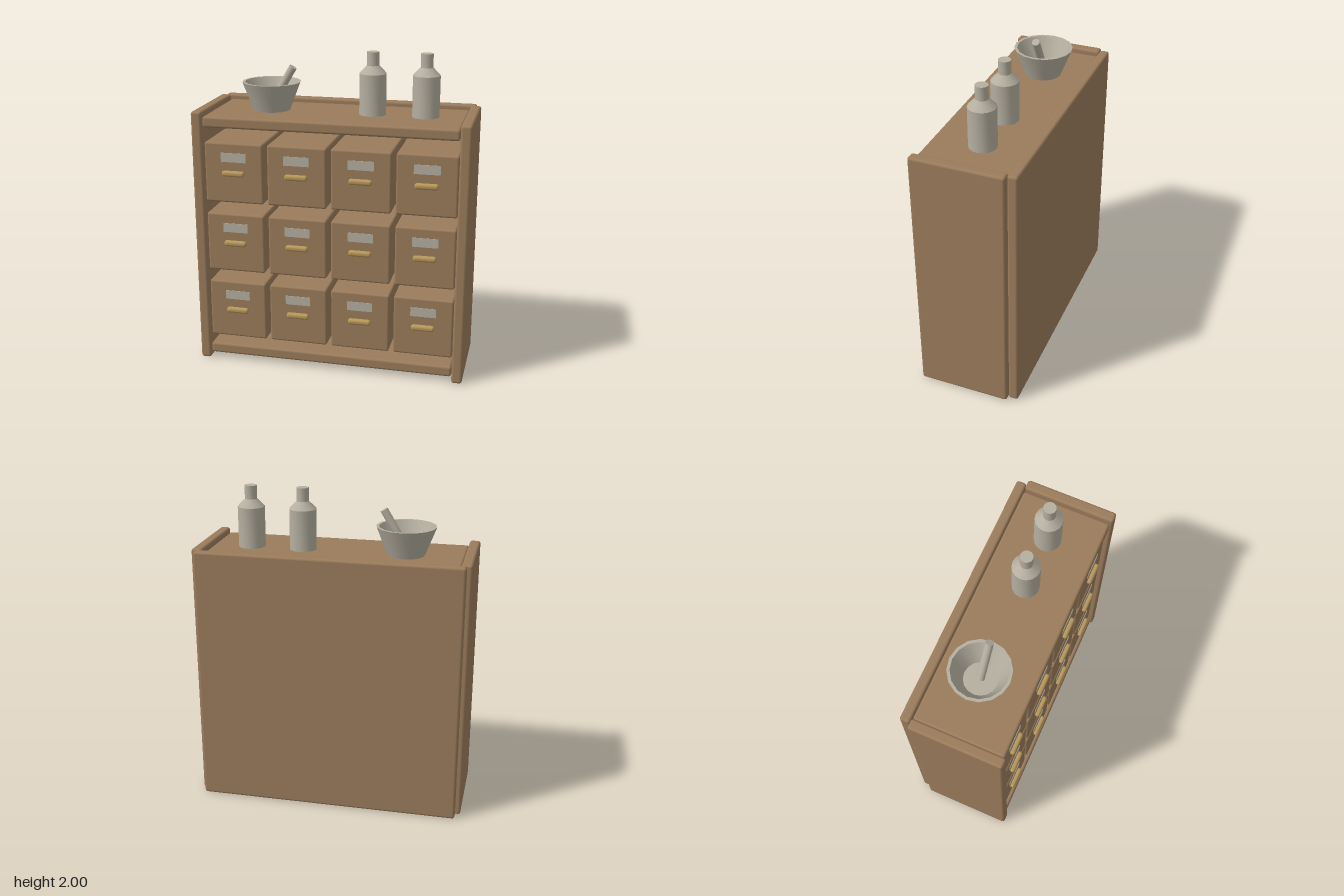
import * as THREE from 'three';
import { toCreasedNormals } from 'three/addons/utils/BufferGeometryUtils.js';
import { RoundedBoxGeometry } from 'three/addons/geometries/RoundedBoxGeometry.js';

const paint = (name, color) => {
  const m = new THREE.MeshStandardMaterial({ color });
  m.name = name;
  return m;
};

export function createModel() {
  const wood = paint('wood', 0x9b7c5c);
  const stone = paint('stone', 0xb5afa0);
  const brass = paint('brass', 0xb8975a);

  const model = new THREE.Group();
  model.name = 'drawerCabinet';

  const add = (parent, name, geometry, material, x, y, z) => {
    const mesh = new THREE.Mesh(geometry, material);
    mesh.name = name;
    mesh.position.set(x, y, z);
    parent.add(mesh);
    return mesh;
  };
  const rounded = (w, h, d, r = 0.016) => new RoundedBoxGeometry(w, h, d, 2, r);
  const lathe = (points) => toCreasedNormals(
    new THREE.LatheGeometry(points.map(([x, y]) => new THREE.Vector2(x, y)), 16).toNonIndexed(), 0.45);

  // Carcass: two sides, back, top and bottom boards
  const sideGeo = rounded(0.066, 1.645, 0.577);
  add(model, 'leftSide', sideGeo, wood, 0.823, 0.8225, 0.0315);
  add(model, 'rightSide', sideGeo, wood, -0.823, 0.8225, 0.0315);
  add(model, 'backPanel', rounded(1.65, 1.645, 0.063), wood, 0, 0.8225, -0.2885);
  const boardGeo = rounded(1.574, 0.07, 0.562);
  add(model, 'topBoard', boardGeo, wood, 0, 1.581, 0.024);
  add(model, 'bottomBoard', boardGeo, wood, 0, 0.069, 0.024);

  // Drawers: three rows of four, each with a label and a pull
  const drawerGeo = rounded(0.372, 0.382, 0.53, 0.013);
  const labelGeo = new THREE.BoxGeometry(0.16, 0.058, 0.006);
  const pullGeo = rounded(0.144, 0.036, 0.036, 0.015);
  [0.348, 0.805, 1.262].forEach((y) => {
    [-0.6, -0.2, 0.2, 0.6].forEach((x) => {
      const drawer = new THREE.Group();
      drawer.name = 'drawer';
      drawer.position.set(x, y, 0);
      add(drawer, 'drawerBox', drawerGeo, wood, 0, 0, 0.022);
      add(drawer, 'label', labelGeo, stone, 0, 0.1, 0.287);
      add(drawer, 'pull', pullGeo, brass, 0, 0, 0.297);
      model.add(drawer);
    });
  });

  // Bottles
  const bottleGeo = lathe([[0, 0], [0.084, 0], [0.084, 0.254], [0.038, 0.302], [0.038, 0.385], [0, 0.385]]);
  [0.213, 0.542].forEach((x) => add(model, 'bottle', bottleGeo, stone, x, 1.615, 0));

  // Mortar and pestle
  const mortarGeo = lathe([[0, 0], [0.115, 0], [0.184, 0.178], [0.166, 0.178], [0.1, 0.03], [0, 0.03]]);
  add(model, 'mortar', mortarGeo, stone, -0.43, 1.615, 0);
  const pestle = add(model, 'pestle', new THREE.CylinderGeometry(0.025, 0.025, 0.27, 12), stone, -0.36, 1.771, 0);
  pestle.rotation.z = -0.54;

  return model;
}
